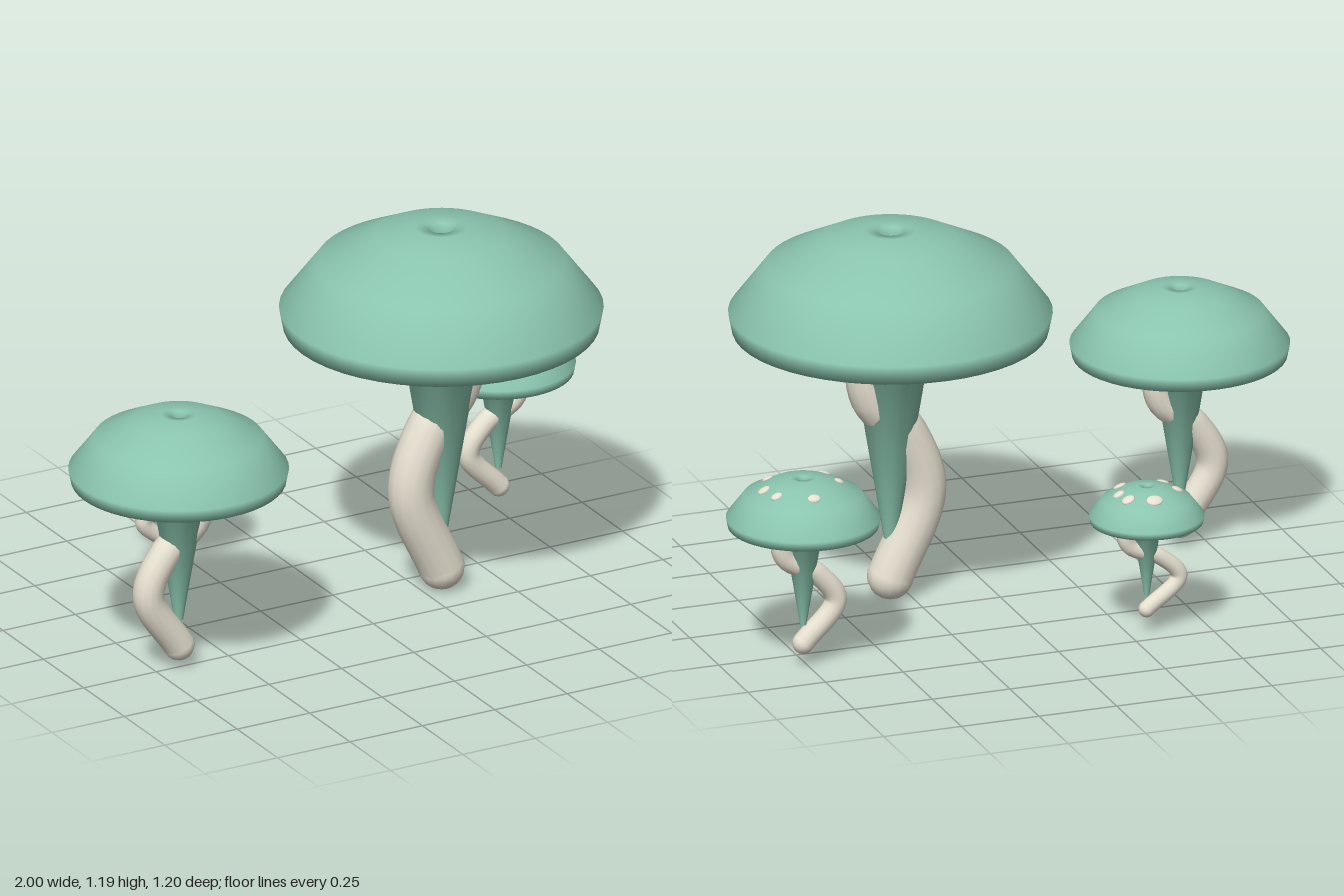
import * as THREE from 'three';

const green = new THREE.MeshStandardMaterial({ color: 0x8ac4ae });
const cream = new THREE.MeshStandardMaterial({ color: 0xe6e0d0 });

// Cap and funnel outline at full size: tip, underside, rim, dome, centre hole
const OUTLINE = [
  [0.02, 0.2], [0.13, 0.87], [0.478, 0.87], [0.49, 0.93], [0.378, 1.078],
  [0.2, 1.166], [0.08, 1.19], [0.038, 1.185], [0.036, 1.15],
];

// Height of the dome at a given full-size radius
function domeHeight(r) {
  for (let i = 3; i < 6; i++) {
    const [r0, y0] = OUTLINE[i], [r1, y1] = OUTLINE[i + 1];
    if (r <= r0 && r >= r1) return y0 + (y1 - y0) * (r0 - r) / (r0 - r1);
  }
  return 1.19;
}

function addMesh(parent, name, geometry, material) {
  const mesh = new THREE.Mesh(geometry, material);
  mesh.name = name;
  parent.add(mesh);
  return mesh;
}

// s: size, lift: height offset, gillEnd: outer gill radius as a share of the cap
function mushroom({ name, x, z, s, lift, gillEnd, spots = [], spotSize = 0 }) {
  const g = new THREE.Group();
  g.name = name;
  g.position.set(x, lift, z);

  // Cap with funnel underneath
  const outline = OUTLINE.map(([r, y]) => new THREE.Vector2(r * s, y * s));
  addMesh(g, 'cap', new THREE.LatheGeometry(outline, 48), green);

  // S-shaped stem; the sideways bend is the same for every size
  const radius = 0.071 * s;
  const path = new THREE.CatmullRomCurve3([
    [0, 0.076], [-0.105, 0.34], [-0.045, 0.53], [0.055, 0.66], [0.068, 0.78], [0, 0.92],
  ].map(([px, py]) => new THREE.Vector3(px, py * s, 0)));
  addMesh(g, 'stem', new THREE.TubeGeometry(path, 40, radius, 14), cream);
  const foot = addMesh(g, 'stemFoot', new THREE.SphereGeometry(radius, 16, 12), cream);
  foot.position.set(0, 0.076 * s, 0);

  // Radial gills under the cap
  const R = 0.478 * s, inner = 0.27 * R, outer = gillEnd * R;
  const gillGeo = new THREE.SphereGeometry(1, 8, 6);
  gillGeo.scale((outer - inner) / 2, 0.007, 0.006);
  const count = 24;
  for (let i = 0; i < count; i++) {
    const a = i / count * Math.PI * 2, mid = (inner + outer) / 2;
    const gill = addMesh(g, 'gill', gillGeo, cream);
    gill.position.set(Math.cos(a) * mid, 0.87 * s, -Math.sin(a) * mid);
    gill.rotation.y = a;
  }

  // Flattened spots lying on the dome
  const spotGeo = new THREE.SphereGeometry(1, 12, 8);
  for (const [dx, dz, k] of spots) {
    const r = Math.hypot(dx, dz) / s;
    const spot = addMesh(g, 'spot', spotGeo, cream);
    spot.position.set(dx, domeHeight(r) * s, dz);
    const slope = (domeHeight(r - 0.03) - domeHeight(r + 0.03)) / 0.06;
    const normal = new THREE.Vector3(dx / (r * s) * slope, 1, dz / (r * s) * slope).normalize();
    spot.quaternion.setFromUnitVectors(new THREE.Vector3(0, 1, 0), normal);
    spot.scale.set(spotSize * k, spotSize * 0.35, spotSize * k * 0.8);
  }
  return g;
}

export function createModel() {
  const model = new THREE.Group();
  model.name = 'mushroomCluster';
  model.add(
    mushroom({ name: 'largeMushroom', x: 0.313, z: 0.11, s: 1, lift: 0, gillEnd: 0.82 }),
    mushroom({ name: 'mediumMushroom', x: -0.668, z: 0.242, s: 0.68, lift: 0.023, gillEnd: 0.85 }),
    mushroom({
      name: 'smallMushroom', x: 0.762, z: -0.34, s: 0.477, lift: 0.041, gillEnd: 0.93, spotSize: 0.021,
      spots: [[0.01, -0.12, 1], [0.108, -0.06, 0.9], [0.125, 0.005, 1],
        [0.08, 0.092, 0.9], [-0.1, 0.085, 1], [-0.108, -0.02, 0.8]],
    }),
    mushroom({
      name: 'tinyMushroom', x: -0.31, z: -0.43, s: 0.357, lift: 0.05, gillEnd: 0.97, spotSize: 0.022,
      spots: [[0.008, -0.088, 1.2], [0.078, -0.05, 1], [0.09, 0, 0.9],
        [0.062, 0.068, 1], [-0.075, 0.062, 1], [-0.093, -0.015, 0.9]],
    }),
  );
  return model;
}
